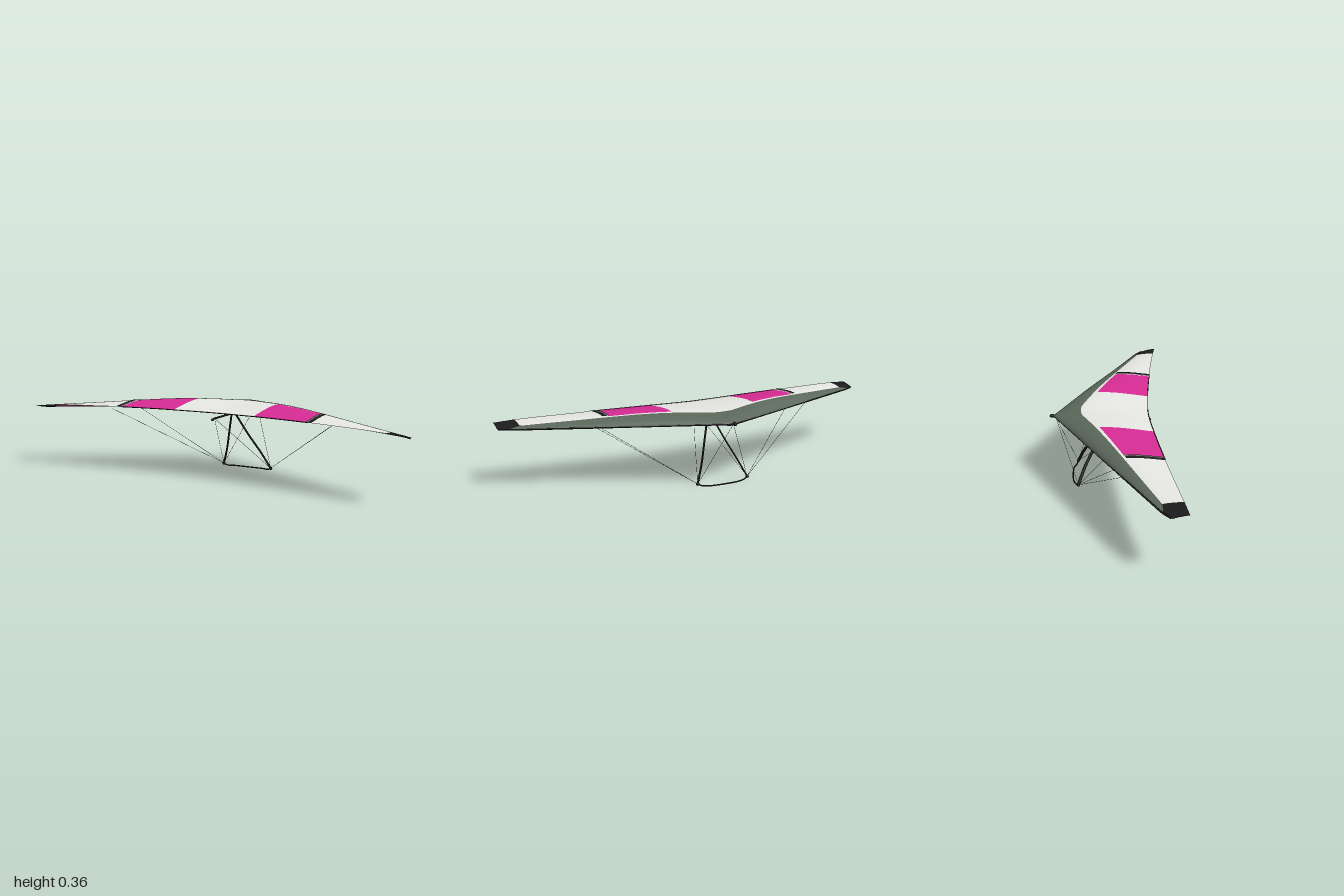
import * as THREE from 'three';

const mat = (name, color) => {
  const m = new THREE.MeshStandardMaterial({ color });
  m.name = name;
  return m;
};

// piecewise-linear lookup over [x, value] pairs
const table = (pts) => (x) => {
  for (let i = 1; i < pts.length; i++) {
    const [x0, a] = pts[i - 1], [x1, b] = pts[i];
    if (x <= x1) return a + (b - a) * (x - x0) / (x1 - x0);
  }
  return pts[pts.length - 1][1];
};

// wing planform and section, by distance x from the centreline
const leadZ = (x) => -0.275 + 0.483 * x + (x > 0.93 ? 3 * (x - 0.93) ** 2 : 0);
const trailZ = (x) => 0.19 + 0.103 * x ** 1.4;
const leadY = (x) => 0.33 - 0.028 * x;
const trailY = table([[0, 0.336], [0.3, 0.337], [0.55, 0.335], [0.8, 0.33], [0.9, 0.326], [1, 0.318]]);
const topRise = table([[0, 0.025], [0.08, 0.028], [0.16, 0.033], [0.26, 0.036], [0.38, 0.034],
  [0.52, 0.027], [0.7, 0.017], [0.9, 0.007], [0.95, 0.004], [1, 0.002]]);
const underDrop = table([[0, 0.032], [0.06, 0.026], [0.13, 0.018], [0.25, 0.012], [0.5, 0.008], [0.9, 0.005], [1, 0.002]]);
const bulge = (t) => Math.sin(Math.PI * Math.min(1, t) ** 0.6);
const chordT = (x, z) => Math.max(0, (z - leadZ(x)) / (trailZ(x) - leadZ(x)));

function wingPoint(x, t, top, lift = 0) {
  const y = leadY(x) + (trailY(x) - leadY(x)) * t;
  const z = leadZ(x) + (trailZ(x) - leadZ(x)) * t;
  return [x, y + bulge(t) * (top ? topRise(x) : -underDrop(x)) + lift, z];
}

// sail panel bounded by xa..xb (functions of u) and ta..tb (functions of x)
function panel({ xa, xb, ta = () => 0, tb = () => 1, top = true, lift = 0, nx = 16, nt = 20 }, side) {
  const pos = [], idx = [];
  for (let i = 0; i <= nx; i++) for (let j = 0; j <= nt; j++) {
    const u = (j / nt) ** 1.4;
    const x0 = typeof xa === 'function' ? xa(u) : xa;
    const x1 = typeof xb === 'function' ? xb(u) : xb;
    const x = x0 + (x1 - x0) * i / nx;
    const p = wingPoint(x, ta(x) + (tb(x) - ta(x)) * u, top, lift);
    pos.push(p[0] * side, p[1], p[2]);
    if (i < nx && j < nt) {
      const a = i * (nt + 1) + j, b = a + 1, c = a + nt + 1, d = c + 1;
      if (top === (side > 0)) idx.push(a, b, c, b, d, c);
      else idx.push(a, c, b, b, c, d);
    }
  }
  const g = new THREE.BufferGeometry();
  g.setAttribute('position', new THREE.Float32BufferAttribute(pos, 3));
  g.setIndex(idx);
  g.computeVertexNormals();
  return g;
}

export function createModel() {
  const white = mat('white sail', 0xe8e8e5);
  const magenta = mat('magenta sail', 0xd62c94);
  const green = mat('grey green sail', 0x5c685c);
  const black = mat('black trim', 0x1c1c1c);
  const grey = mat('grey batten', 0x6a6c6a);
  const charcoal = mat('charcoal', 0x2c2d30);

  const model = new THREE.Group();
  const add = (name, geometry, material) => {
    const m = new THREE.Mesh(geometry, material);
    m.name = name;
    model.add(m);
    return m;
  };
  // stretch flattens the tube into a foil that is deeper along z
  const tube = (name, pts, r, material, n = 24, sides = 8, stretch = 1) => {
    const path = new THREE.CatmullRomCurve3(pts.map(([x, y, z]) => new THREE.Vector3(x, y, z / stretch)));
    return add(name, new THREE.TubeGeometry(path, n, r, sides).scale(1, 1, stretch), material);
  };
  const rod = (name, a, b) => tube(name, [a, b], 0.0008, charcoal, 1, 6);
  const ball = (name, p, r, sx = 1, sy = 1, sz = 1) => {
    const m = add(name, new THREE.SphereGeometry(r, 14, 10), black);
    m.position.set(...p);
    m.scale.set(sx, sy, sz);
  };

  // panel seams on the upper surface
  const bandT = (x) => chordT(x, table([[0, -0.14], [0.05, -0.137], [0.9, 0.188], [1, 0.19]])(x));
  const pinkT = (x) => chordT(x, -0.054 + (x - 0.22) * 0.36);
  const streak = (x0) => (t) => x0 + 0.31 * t;

  const panels = [
    ['leadingBand', green, { xa: 0, xb: 0.97, tb: bandT, nx: 52, nt: 14 }],
    ['centreSail', white, { xa: 0, xb: 0.22, ta: bandT, nx: 14 }],
    ['sailMargin', white, { xa: 0.22, xb: 0.505, ta: bandT, tb: pinkT, nt: 3 }],
    ['pinkPanel', magenta, { xa: 0.22, xb: 0.505, ta: pinkT }],
    ['outerSail', white, { xa: 0.505, xb: 0.9, ta: bandT, nx: 24 }],
    ['batten', grey, { xa: 0.502, xb: 0.514, ta: pinkT, lift: 0.003, nx: 2 }],
    ['rib', black, { xa: 0.514, xb: 0.534, ta: pinkT, lift: 0.003, nx: 2 }],
    ['tipTop', black, { xa: 0.9, xb: 1, ta: bandT, nx: 10 }],
    ['tipUnder', black, { xa: 0.9, xb: 1, top: false, nx: 10 }],
    ['underInner', magenta, { xa: 0, xb: streak(0.31), top: false, nx: 28 }],
    ['underStreak', white, { xa: streak(0.31), xb: streak(0.42), top: false, nx: 6 }],
    ['underMiddle', magenta, { xa: streak(0.42), xb: streak(0.51), top: false, nx: 6 }],
    ['underThinStreak', white, { xa: streak(0.51), xb: streak(0.57), top: false, nx: 4 }],
    ['underOuter', magenta, { xa: streak(0.57), xb: 0.9, top: false, nx: 20 }],
  ];

  for (const s of [1, -1]) {
    const side = s > 0 ? 'left' : 'right';
    for (const [name, material, spec] of panels) add(`${side} ${name}`, panel(spec, s), material);

    // edge spars, the leading one tucked under the sail towards the nose
    const edge = (t, x0, x1, n, drop, back) => Array.from({ length: n + 1 }, (_, i) => {
      const x = x0 + (x1 - x0) * i / n;
      const p = wingPoint(x, t, true);
      return [x * s, p[1] - drop * (1 - x), p[2] + back * (1 - x)];
    });
    tube(`${side} innerSpar`, edge(0, 0, 0.45, 10, 0.005, 0.005), 0.0038, charcoal);
    tube(`${side} outerSpar`, edge(0, 0.45, 0.995, 16, 0.005, 0.005), 0.004, black, 32);
    tube(`${side} trailingCord`, edge(1, 0, 0.52, 10, -0.001, 0.001), 0.002, black, 20, 6);

    // control frame upright and rigging
    const corner = [s * 0.136, 0.016, -0.157];
    tube(`${side} upright`, [[s * 0.008, 0.313, -0.01], [s * 0.054, 0.2, -0.066],
      [s * 0.098, 0.1, -0.122], corner], 0.0034, black, 24, 10, 2.4);
    ball(`${side} corner`, corner, 0.008, 1.1, 1.1, 0.9);
    rod(`${side} noseWire`, corner, [0, 0.325, -0.265]);
    rod(`${side} tailWire`, corner, [0, 0.309, 0.178]);
    rod(`${side} frontSideWire`, corner, [s * 0.57, 0.314, 0.006]);
    rod(`${side} rearSideWire`, corner, [s * 0.6, 0.315, 0.18]);
  }

  // base bar, keel and fittings
  tube('baseBar', [[-0.136, 0.016, -0.158], [-0.118, 0.007, -0.163], [-0.08, 0.005, -0.178], [0, 0.0042, -0.182],
    [0.08, 0.005, -0.178], [0.118, 0.007, -0.163], [0.136, 0.016, -0.158]], 0.0036, black, 48);
  tube('keel', [[0, 0.328, -0.28], [0, 0.312, -0.1], [0, 0.309, 0.06], [0, 0.308, 0.198]], 0.005, black);
  ball('keelEnd', [0, 0.305, 0.198], 0.007);
  ball('noseCap', [0, 0.329, -0.28], 0.01, 1, 0.9, 1.4);
  ball('frameApex', [0, 0.312, -0.01], 0.008, 1.2, 0.8, 1);
  return model;
}
